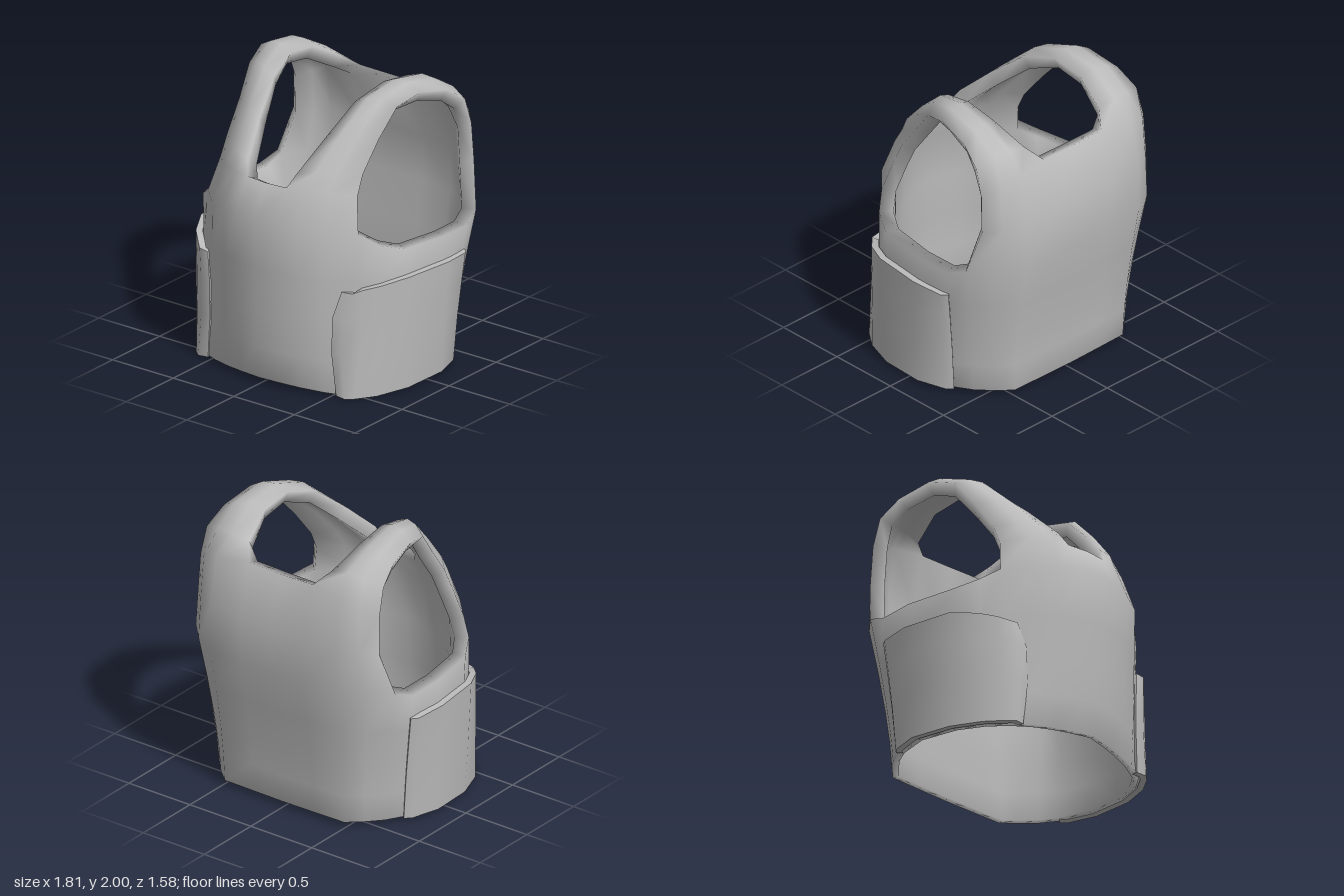
import * as THREE from 'three';
import { toCreasedNormals } from 'three/addons/utils/BufferGeometryUtils.js';

const lerp = THREE.MathUtils.lerp;
const mix = (a, b, t) => a.map((v, i) => lerp(v, b[i], t));

// Half outlines from front centre (0) round the side to back centre (13): [x, y, z]
const hem = [
  [0, .045, .73], [.17, .036, .7], [.3, .028, .67], [.45, .018, .62], [.59, .008, .55],
  [.7, .012, .41], [.78, .022, .2], [.81, .035, -.1], [.75, .035, -.33], [.68, .035, -.45],
  [.59, .035, -.55], [.49, .036, -.64], [.25, .038, -.648], [0, .04, -.655],
];
const chest = [
  [0, 1.18, .79], [.17, 1.18, .762], [.3, 1.16, .725], [.46, 1.14, .64], [.62, 1.13, .475],
  [.73, 1.05, .385], [.82, 1.0, .23], [.87, .99, -.12], [.855, .975, -.37], [.82, 1.03, -.52],
  [.69, 1.03, -.66], [.51, 1.03, -.765], [.25, 1.03, -.775], [0, 1.03, -.78],
];
// Strap edges running over the shoulder: [neck edge, arm edge]
const strapEdges = [
  [[.2, 1.49, .59], [.56, 1.5, .35]],
  [[.27, 1.69, .38], [.575, 1.7, .2]],
  [[.335, 1.89, .14], [.61, 1.89, .05]],
  [[.385, 1.965, -.1], [.66, 1.945, -.14]],
  [[.39, 1.93, -.34], [.695, 1.89, -.38]],
  [[.34, 1.81, -.57], [.725, 1.785, -.525]],
];
const neckFront = [[0, 1.4, .66], [.16, 1.4, .645], [.29, 1.4, .62], [.43, 1.39, .55], [.565, 1.36, .415]];
const neckBack = [[0, 1.72, -.68], [.26, 1.725, -.675], [.5, 1.71, -.71], [.64, 1.65, -.67], [.735, 1.6, -.58]];
const upperBack = [[0, 1.36, -.788], [.25, 1.36, -.782], [.51, 1.36, -.768], [.65, 1.34, -.69], [.745, 1.33, -.595]];

// Point on the lower body: c = column (may be fractional), f = height fraction
function bodyPoint(c, f) {
  const i = Math.min(Math.floor(c), 12);
  const a = mix(hem[i], hem[i + 1], c - i), b = mix(chest[i], chest[i + 1], c - i);
  const t = Math.pow(f, 1 - .65 * (a[2] + b[2]) / 2);
  return [lerp(a[0], b[0], t), lerp(a[1], b[1], f), lerp(a[2], b[2], t)];
}

// Strap cross-section, domed between its two edges
function strapRow([inner, outer]) {
  return [0, 1 / 3, 2 / 3, 1].map((t) => {
    const p = mix(inner, outer, t);
    const lift = t > 0 && t < 1 ? .045 : 0;
    const dy = p[1] - 1.2, dz = p[2] + .1, len = Math.hypot(dy, dz);
    return [p[0], p[1] + lift * dy / len, p[2] + lift * dz / len];
  });
}

// Thickens surface patches inwards and closes every open edge with a rim
function shell(patches, sides, thickness) {
  const points = [], lookup = new Map(), faces = [];
  const vertex = (p, side) => {
    const q = [p[0] * side, p[1], p[2]];
    const key = q.map((v) => Math.round(v * 1e4) + 0).join();
    if (!lookup.has(key)) {
      lookup.set(key, points.length);
      points.push(q);
    }
    return lookup.get(key);
  };
  for (const side of sides) for (const rows of patches) {
    for (let r = 0; r + 1 < rows.length; r++) for (let c = 0; c + 1 < rows[r].length; c++) {
      const q = [rows[r][c], rows[r][c + 1], rows[r + 1][c + 1], rows[r + 1][c]].map((p) => vertex(p, side));
      if (side < 0) q.reverse();
      faces.push([q[0], q[1], q[2]], [q[0], q[2], q[3]]);
    }
  }
  const geometry = new THREE.BufferGeometry();
  geometry.setAttribute('position', new THREE.Float32BufferAttribute(points.flat(), 3));
  geometry.setIndex(faces.flat());
  geometry.computeVertexNormals();
  const normal = geometry.attributes.normal, n = points.length;
  const inner = points.map((p, i) => {
    const t = thickness(p[1]);
    return [p[0] - normal.getX(i) * t, p[1] - normal.getY(i) * t, p[2] - normal.getZ(i) * t];
  });
  const edges = new Set();
  for (const f of faces) f.forEach((a, k) => edges.add(a + '_' + f[(k + 1) % 3]));
  const all = [...faces, ...faces.map(([a, b, c]) => [a + n, c + n, b + n])];
  for (const e of edges) {
    const [a, b] = e.split('_').map(Number);
    if (!edges.has(b + '_' + a)) all.push([b, a, a + n], [b, a + n, b + n]);
  }
  geometry.deleteAttribute('normal');
  geometry.setAttribute('position', new THREE.Float32BufferAttribute([...points, ...inner].flat(), 3));
  geometry.setIndex(all.flat());
  geometry.computeVertexNormals();
  return geometry;
}

export function createModel() {
  const group = new THREE.Group();
  group.name = 'vest';
  const grey = new THREE.MeshStandardMaterial({ color: 0xbbbbbb });
  grey.name = 'grey fabric';
  const add = (name, geometry) => {
    const mesh = new THREE.Mesh(geometry, grey);
    mesh.name = name;
    group.add(mesh);
  };

  // Vest body: lower wrap, front panel, shoulder straps and back panel as one shell
  const columns = hem.map((_, i) => i);
  const lower = [0, .2, .42, .7, 1].map((f) => columns.map((c) => bodyPoint(c, f)));
  const front = [chest.slice(0, 5), neckFront];
  const straps = [neckFront.slice(1), ...strapEdges.map(strapRow), neckBack.slice(1)];
  const back = [neckBack, upperBack, chest.slice(9).reverse()];
  add('vestBody', shell([lower, front, straps, back], [1, -1],
    (y) => lerp(.045, .095, THREE.MathUtils.smoothstep(y, .1, .9))));

  // Side panels: raised plates round the flanks, bevelled into the body front and back
  const startColumn = [3.5, 3.26, 3.28, 3.55];
  const topHeight = [.645, .65, .68, .745, .81, .815, .81, .81];
  const lift = [.012, .055, .055, .05, .05, .046, .04, .015];
  const panel = [0, .4, .75, 1].map((v, r) =>
    [startColumn[r], startColumn[r] + .3, 4.2, 5, 6, 7, 7.85, 8.1].map((c, k) => {
      const [x, y, z] = bodyPoint(c, v * topHeight[k]);
      const s = lift[k] / Math.hypot(x, z);
      return [x + s * x, v === 0 ? y - .006 : y, z + s * z];
    }));
  for (const [name, side] of [['leftSidePanel', 1], ['rightSidePanel', -1]]) {
    add(name, toCreasedNormals(shell([panel], [side], () => .045), 1));
  }
  return group;
}
